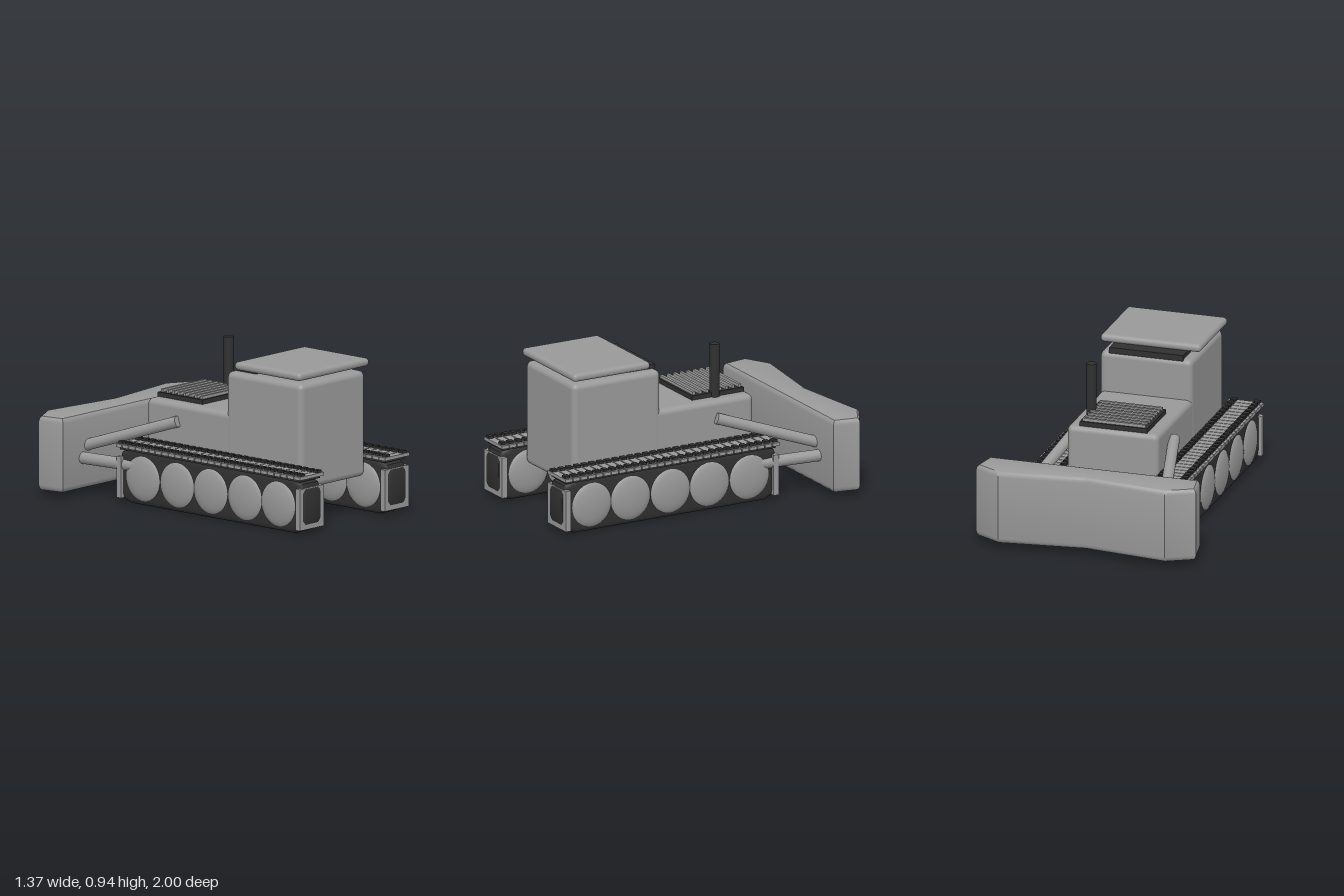
import * as THREE from 'three';
import { toCreasedNormals } from 'three/addons/utils/BufferGeometryUtils.js';
import { RoundedBoxGeometry } from 'three/addons/geometries/RoundedBoxGeometry.js';

const grey = new THREE.MeshStandardMaterial({ color: 0x999999 });
grey.name = 'body grey';
const dark = new THREE.MeshStandardMaterial({ color: 0x303030 });
dark.name = 'dark rubber';

function add(parent, name, geometry, material, x = 0, y = 0, z = 0) {
  const mesh = new THREE.Mesh(geometry, material);
  mesh.name = name;
  mesh.position.set(x, y, z);
  parent.add(mesh);
  return mesh;
}

// Boxes given by their limits on each axis
function box(parent, name, material, [x0, x1], [y0, y1], [z0, z1], radius = 0) {
  const size = [x1 - x0, y1 - y0, z1 - z0];
  const geometry = radius
    ? new RoundedBoxGeometry(...size, 3, radius)
    : new THREE.BoxGeometry(...size);
  return add(parent, name, geometry, material, (x0 + x1) / 2, (y0 + y1) / 2, (z0 + z1) / 2);
}

// Straight round bar between two points
function bar(parent, name, material, a, b, radius) {
  const from = new THREE.Vector3(...a), to = new THREE.Vector3(...b);
  const dir = to.clone().sub(from);
  const mesh = add(parent, name, new THREE.CylinderGeometry(radius, radius, dir.length(), 20), material);
  mesh.position.copy(from).add(to).multiplyScalar(0.5);
  mesh.quaternion.setFromUnitVectors(new THREE.Vector3(0, 1, 0), dir.normalize());
  return mesh;
}

// Extrusion with bevels kept inside the outline, centred on its depth
function bevelled(points, depth, size, thickness, segments) {
  const shape = new THREE.Shape(points.map(([x, y]) => new THREE.Vector2(x, y)));
  const geometry = new THREE.ExtrudeGeometry(shape, {
    depth: depth - 2 * thickness, bevelEnabled: true, bevelSize: size, bevelOffset: -size,
    bevelThickness: thickness, bevelSegments: segments,
  });
  geometry.translate(0, 0, -(depth - 2 * thickness) / 2);
  return toCreasedNormals(geometry, 0.5);
}

function makeTrack(side) {
  const track = new THREE.Group();
  track.name = side > 0 ? 'leftTrack' : 'rightTrack';
  track.position.x = side * 0.377;

  // Dark track core
  const l = 0.7375, h = 0.1675, c = 0.09, d = 0.05;
  const outline = [
    [-l + c, -h], [l - c, -h], [l - 0.02, -h + d * 0.6], [l, -h + c], [l, h - c], [l - 0.02, h - d * 0.6],
    [l - c, h], [-l + c, h], [-l + 0.02, h - d * 0.6], [-l, h - c], [-l, -h + c], [-l + 0.02, -h + d * 0.6],
  ];
  const core = bevelled(outline, 0.17, 0.035, 0.03, 3);
  core.rotateY(Math.PI / 2);
  add(track, 'trackCore', core, dark, 0, 0.1725, 0.2575);

  // Domed road wheels on both faces
  for (const z of [0.795, 0.53, 0.258, -0.008, -0.28]) {
    for (const face of [-1, 1]) {
      const wheel = add(track, 'roadWheel', new THREE.SphereGeometry(0.14, 28, 18), grey, face * 0.075, 0.17, z);
      wheel.scale.x = 0.25;
    }
  }

  // End guards
  box(track, 'frontGuard', grey, [-0.107, 0.107], [0.035, 0.285], [0.95, 0.985]);
  box(track, 'rearGuard', grey, [-0.107, 0.107], [0.035, 0.285], [-0.47, -0.435]);

  // Tread plates with paired cleats
  const count = 28, pitch = 1.47 / count;
  for (let i = 0; i < count; i++) {
    const z = -0.48 + (i + 0.5) * pitch;
    box(track, 'treadPlate', grey, [-0.108, 0.108], [0.34, 0.36], [z - 0.023, z + 0.023]);
    for (const x of [-0.073, 0.073]) {
      box(track, 'treadCleat', dark, [x - 0.018, x + 0.018], [0.36, 0.375], [z - 0.017, z + 0.017]);
    }
  }
  box(track, 'treadBelt', dark, [-0.09, 0.09], [0.325, 0.346], [-0.46, 0.97]);
  return track;
}

export function createModel() {
  const model = new THREE.Group();
  model.name = 'bulldozer';

  // Cab, roof and hood
  box(model, 'cab', grey, [-0.287, 0.287], [0.225, 0.864], [0.22, 0.82], 0.035);
  box(model, 'roof', grey, [-0.313, 0.313], [0.888, 0.937], [0.305, 0.83], 0.023);
  box(model, 'roofVent', dark, [-0.23, 0.23], [0.85, 0.89], [0.23, 0.41]);
  box(model, 'hood', grey, [-0.285, 0.285], [0.185, 0.615], [-0.415, 0.32], 0.035);

  // Engine grille with slats
  box(model, 'grillePlate', dark, [-0.21, 0.21], [0.61, 0.642], [-0.39, -0.035]);
  for (let i = 0; i < 8; i++) {
    const z = -0.37 + i * 0.0447;
    box(model, 'grilleSlat', grey, [-0.195, 0.195], [0.64, 0.66], [z - 0.009, z + 0.009]);
  }

  // Exhaust stack
  bar(model, 'exhaust', dark, [0.2, 0.6, -0.195], [0.2, 0.942, -0.195], 0.03);

  // Tracks and blade arms
  for (const side of [-1, 1]) {
    model.add(makeTrack(side));
    bar(model, 'upperArm', grey, [side * 0.3, 0.51, -0.15], [side * 0.44, 0.29, -0.8], 0.034);
    bar(model, 'lowerArm', grey, [side * 0.43, 0.235, -0.27], [side * 0.48, 0.235, -0.8], 0.036);
  }

  // Blade
  const half = [[0.655, -0.745], [0.685, -0.91], [0.52, -1]];
  const outline = [...half, [0, -0.935], ...half.map(([x, z]) => [-x, z]).reverse()];
  const blade = bevelled(outline.reverse(), 0.455, 0.03, 0.035, 3);
  blade.rotateX(Math.PI / 2);
  add(model, 'blade', blade, grey, 0, 0.2725, 0);

  return model;
}
